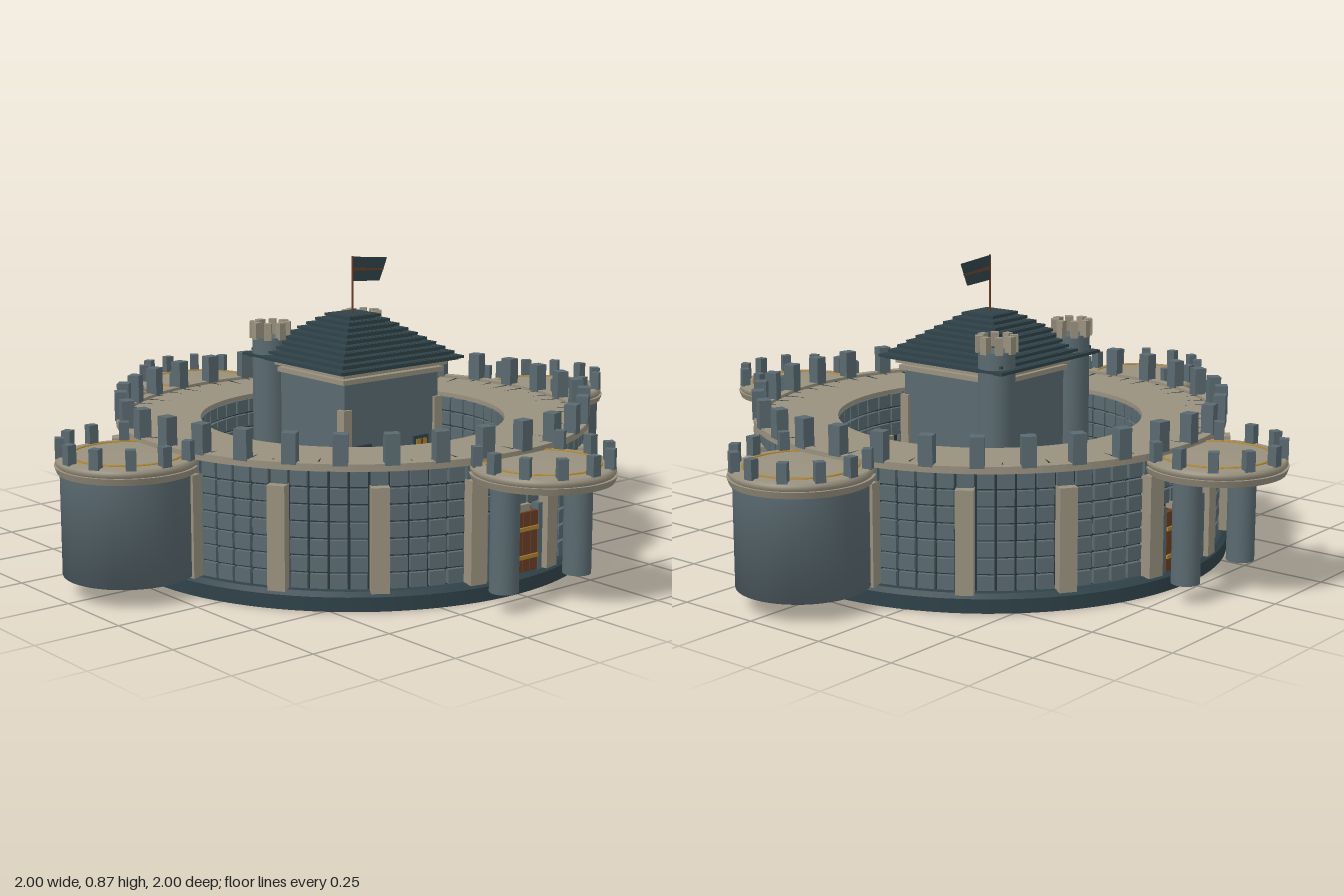
import * as THREE from 'three';
import { mergeGeometries } from 'three/addons/utils/BufferGeometryUtils.js';

const mat = (name, color, side = THREE.FrontSide) => {
  const m = new THREE.MeshStandardMaterial({ color, side });
  m.name = name;
  return m;
};

export function createModel() {
  const stone = mat('slate stone', 0x5a6a70);
  const dark = mat('dark slate', 0x2f4249);
  const joint = mat('mortar joint', 0x29373d);
  const pale = mat('pale limestone', 0x99917f);
  const wood = mat('brown wood', 0x6b3f26);
  const gold = mat('ochre trim', 0xb08430);
  const cloth = mat('flag cloth', 0x2f4249, THREE.DoubleSide);

  const root = new THREE.Group();
  root.name = 'roundFortress';
  const add = (name, geo, material, x = 0, y = 0, z = 0, parent = root) => {
    const m = new THREE.Mesh(geo, material);
    m.name = name;
    m.position.set(x, y, z);
    parent.add(m);
    return m;
  };
  const box = (w, h, d, x = 0, y = 0, z = 0) => new THREE.BoxGeometry(w, h, d).translate(x, y, z);
  // box standing on a circle: depth is radial, width follows the rim
  const rimBox = (a, r, depth, h, width, y) => box(depth, h, width, r, y, 0).rotateY(a);
  const cyl = (rt, rb, y0, y1, n = 24) => new THREE.CylinderGeometry(rt, rb, y1 - y0, n).translate(0, (y0 + y1) / 2, 0);
  const lathe = (pts, n = 48) => new THREE.LatheGeometry(pts.map(p => new THREE.Vector2(...p)), n);
  const ring = (rOut, rIn, y0, y1) => {
    const s = new THREE.Shape().absarc(0, 0, rOut, 0, Math.PI * 2);
    s.holes.push(new THREE.Path().absarc(0, 0, rIn, 0, Math.PI * 2, true));
    return new THREE.ExtrudeGeometry(s, { depth: y1 - y0, bevelEnabled: false, curveSegments: 64 })
      .rotateX(-Math.PI / 2).translate(0, y0, 0);
  };
  const TAU = Math.PI * 2;

  // Base plinth
  add('basePlinth', cyl(0.715, 0.715, 0, 0.04, 96), dark);
  add('baseStep', cyl(0.7, 0.715, 0.04, 0.052, 96), dark);

  // Courtyard paving with staggered joints
  add('courtyardFloor', cyl(0.46, 0.46, 0.05, 0.056, 64), stone);
  const seams = [];
  for (let i = -4; i <= 4; i++) {
    const z = i * 0.1;
    const half = Math.sqrt(0.45 ** 2 - z * z);
    seams.push(box(half * 2, 0.004, 0.008, 0, 0.057, z));
    for (let k = -3; k <= 3; k++) {
      const x = k * 0.13 + (i % 2 ? 0.065 : 0);
      if (Math.hypot(x, z + 0.05) < 0.42) seams.push(box(0.008, 0.004, 0.1, x, 0.057, z + 0.05));
    }
  }
  add('pavingJoints', mergeGeometries(seams), joint);

  // Ring wall: mortar core faced with block courses outside and inside
  add('wallCore', ring(0.677, 0.466, 0.05, 0.385), joint);
  const courses = 7, courseH = 0.047;
  const facing = (r, count) => {
    const blocks = [];
    const w = TAU * r / count - 0.007;
    for (let c = 0; c < courses; c++) for (let i = 0; i < count; i++) {
      const a = (i + 0.5) / count * TAU;
      const gate = Math.abs(Math.cos(a) * r) < 0.09;
      if (gate && c < 4) continue;
      blocks.push(rimBox(a, r, 0.02, courseH - 0.007, w, 0.052 + (c + 0.5) * courseH));
    }
    return mergeGeometries(blocks);
  };
  add('outerBlocks', facing(0.68, 80), stone);
  add('innerBlocks', facing(0.463, 52), stone);

  // Buttresses
  const buttresses = [];
  for (let i = 0; i < 16; i++)
    buttresses.push(rimBox((i + 0.5) / 16 * TAU, 0.698, 0.04, 0.29, 0.05, 0.195));
  add('buttresses', mergeGeometries(buttresses), pale);

  // Wall walk with rim and worn joints
  add('wallWalk', ring(0.69, 0.455, 0.38, 0.393), pale);
  add('wallRim', ring(0.705, 0.678, 0.382, 0.402), pale);
  const cracks = [];
  for (let i = 0; i < 64; i++) {
    const a = (i + 0.5) / 64 * TAU;
    const s = new THREE.Shape([[0.679, -0.006], [0.679, 0.006], [0.6 + 0.025 * (i % 3), 0]].map(p => new THREE.Vector2(...p)));
    cracks.push(new THREE.ShapeGeometry(s).rotateX(-Math.PI / 2).rotateY(a));
  }
  add('walkJoints', mergeGeometries(cracks), joint, 0, 0.3945, 0);

  // Wall merlons
  const merlons = [];
  for (let i = 0; i < 32; i++)
    merlons.push(rimBox(0.047 + i / 32 * TAU, 0.69, 0.036, 0.085, 0.04, 0.44));
  add('wallMerlons', mergeGeometries(merlons), stone);

  // Gates, front and back, each with an outer and an inner door
  for (const s of [1, -1]) {
    for (const [z, out] of [[0.685, 1], [0.458, -1]]) {
      const g = new THREE.Group();
      g.name = 'gate';
      g.position.z = s * z;
      g.rotation.y = s * out > 0 ? 0 : Math.PI;
      root.add(g);
      const planks = [];
      for (let i = 0; i < 6; i++) planks.push(box(0.027, 0.17, 0.03, (i - 2.5) * 0.029, 0.137, 0));
      add('doorPlanks', mergeGeometries(planks), wood, 0, 0, 0, g);
      add('doorBands', mergeGeometries([0.095, 0.175].map(y => box(0.172, 0.011, 0.006, 0, y, 0.017))), gold, 0, 0, 0, g);
      add('doorLintel', box(0.11, 0.02, 0.034, 0, 0.236, 0), pale, 0, 0, 0, g);
      add('doorJambs', mergeGeometries([-1, 1].map(k => box(0.016, 0.19, 0.03, k * 0.096, 0.145, 0))), stone, 0, 0, 0, g);
    }
  }

  // Four towers: solid drums at the sides, pillared porches at front and back
  for (let t = 0; t < 4; t++) {
    const g = new THREE.Group();
    g.name = t % 2 ? 'gatePorch' : 'sideTower';
    g.position.set(0.8 * Math.cos(t * TAU / 4), 0, -0.8 * Math.sin(t * TAU / 4));
    g.rotation.y = t * TAU / 4;
    root.add(g);
    if (t % 2) {
      for (const k of [-1, 1]) add('porchPillar', cyl(0.04, 0.04, 0.055, 0.345), stone, 0, 0, k * 0.14, g);
    } else {
      add('towerDrum', lathe([[0, 0.055], [0.185, 0.055], [0.185, 0.345]]), stone, 0, 0, 0, g);
    }
    add('towerCornice', cyl(0.2, 0.193, 0.343, 0.362, 48), pale, 0, 0, 0, g);
    add('towerCap', lathe([[0.19, 0.36], [0.196, 0.368], [0.196, 0.378], [0.188, 0.386], [0, 0.392]]), pale, 0, 0, 0, g);
    add('capBand', new THREE.TorusGeometry(0.155, 0.004, 6, 48).rotateX(Math.PI / 2), gold, 0, 0.387, 0, g);
    const crown = [];
    for (let i = -4; i <= 4; i++) crown.push(rimBox(i * TAU / 12, 0.183, 0.026, 0.056, 0.028, 0.411));
    add('towerMerlons', mergeGeometries(crown), stone, 0, 0, 0, g);
  }

  // Keep
  const keep = new THREE.Group();
  keep.name = 'keep';
  root.add(keep);
  add('keepBody', box(0.36, 0.49, 0.36, 0, 0.295, 0), stone, 0, 0, 0, keep);
  add('keepCornice', mergeGeometries([box(0.4, 0.014, 0.4, 0, 0.558, 0), box(0.385, 0.014, 0.385, 0, 0.537, 0)]), pale, 0, 0, 0, keep);
  for (const k of [-1, 1]) {
    add('keepQuoin', box(0.03, 0.4, 0.03, k * 0.175, 0.255, 0.175), pale, 0, 0, 0, keep);
    // Front windows
    add('windowFrame', box(0.058, 0.15, 0.008, k * 0.11, 0.27, 0.183), dark, 0, 0, 0, keep);
    add('windowPane', box(0.042, 0.13, 0.008, k * 0.11, 0.27, 0.185), gold, 0, 0, 0, keep);
    add('windowBars', mergeGeometries([box(0.006, 0.13, 0.004, k * 0.11, 0.27, 0.19), box(0.042, 0.006, 0.004, k * 0.11, 0.27, 0.19)]), wood, 0, 0, 0, keep);
    // Rear corner turrets
    const tur = new THREE.Group();
    tur.name = 'turret';
    tur.position.set(k * 0.178, 0, -0.17);
    keep.add(tur);
    add('turretShaft', cyl(0.054, 0.054, 0.05, 0.628), stone, 0, 0, 0, tur);
    const teeth = [];
    for (let i = 0; i < 8; i++) teeth.push(rimBox(i / 8 * TAU, 0.05, 0.022, 0.05, 0.022, 0.648));
    add('turretMerlons', mergeGeometries(teeth), pale, 0, 0, 0, tur);
  }

  // Stepped roof
  const roof = [];
  const steps = 10;
  for (let i = 0; i < steps; i++) {
    const w = 2 * (0.235 - 0.0195 * i), h = 0.0135;
    roof.push(box(w, h * 0.6, w, 0, 0.574 + i * h, 0), box(w - 0.022, h, w - 0.022, 0, 0.572 + i * h, 0));
  }
  add('steppedRoof', mergeGeometries(roof), dark, 0, 0, 0, keep);

  // Flag and pole
  add('flagPole', cyl(0.003, 0.003, 0.69, 0.87, 8), wood);
  const banner = (y0, y1, z) => {
    const x = y => 0.1 + (y - 0.785) * 0.4;
    const s = new THREE.Shape([[0, y0], [x(y0), y0 - 0.006], [x(y1), y1 - 0.012], [0, y1]].map(p => new THREE.Vector2(...p)));
    return new THREE.ExtrudeGeometry(s, { depth: z, bevelEnabled: false }).translate(0, 0, -z / 2);
  };
  add('flag', banner(0.795, 0.868, 0.003), cloth);
  add('flagStripe', banner(0.826, 0.836, 0.006), wood);
  return root;
}
